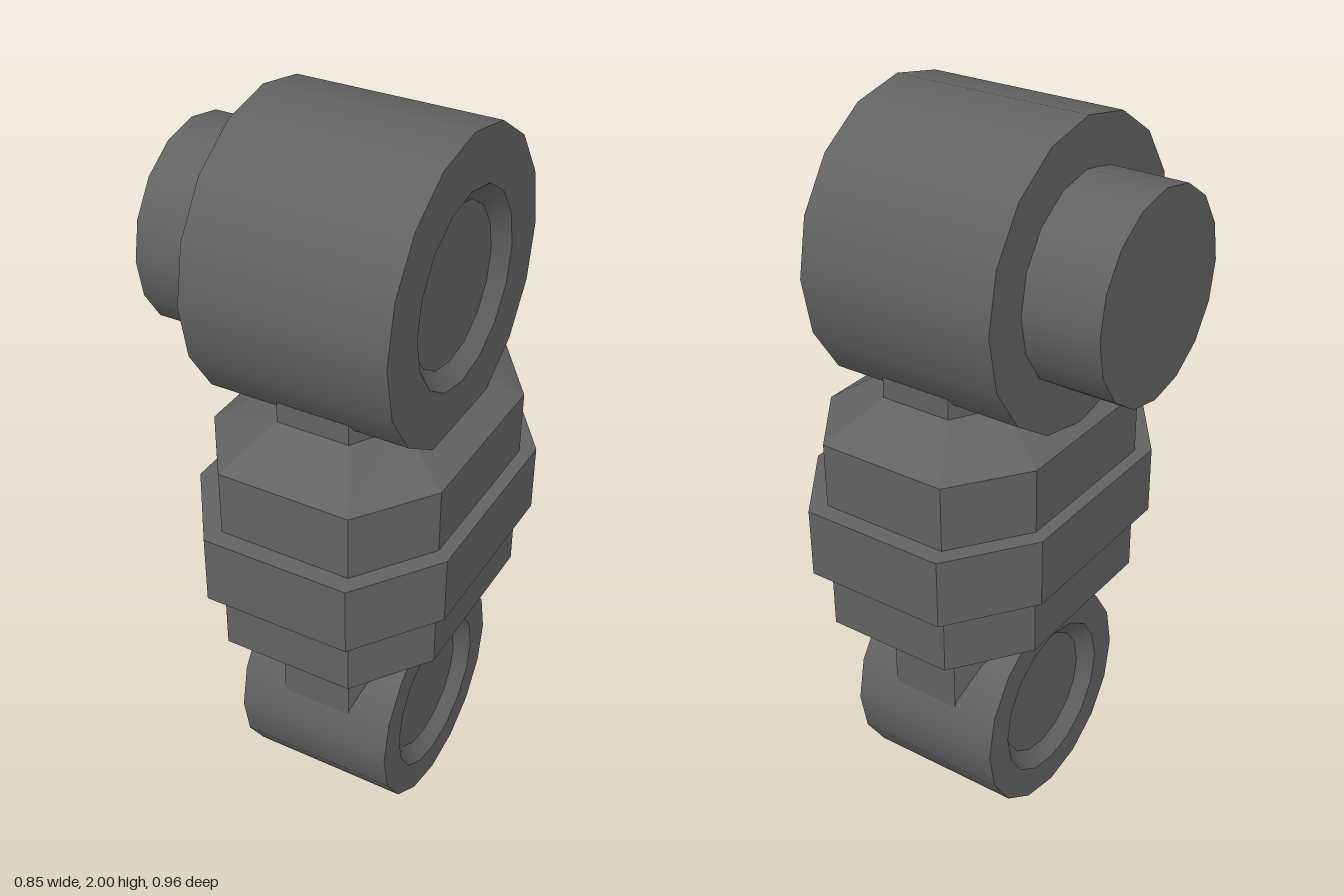
import * as THREE from 'three';
import { mergeGeometries } from 'three/addons/utils/BufferGeometryUtils.js';

const CENTER_X = 0.07;
const darkGrey = new THREE.MeshStandardMaterial({ color: 0x626262 });
const darkGreyFlat = new THREE.MeshStandardMaterial({ color: 0x626262, flatShading: true });

function addMesh(parent, name, geometry, material) {
  const mesh = new THREE.Mesh(geometry, material);
  mesh.name = name;
  parent.add(mesh);
  return mesh;
}

// 16-sided turned part lying along x; profile is [radius, x] from low x to high x.
// Each profile segment is its own band, so it is smooth around and sharp at the rims.
function turned(profile) {
  const points = profile.map(([r, x]) => new THREE.Vector2(r, x));
  const bands = points.slice(1).map((p, i) => new THREE.LatheGeometry([points[i], p], 16));
  return mergeGeometries(bands).rotateZ(-Math.PI / 2);
}

// Stack of octagons joined by flat faces; a layer is [y, halfX, halfZ, flatX, flatZ]
function octagonStack(layers) {
  const rings = layers.map(([y, hx, hz, fx, fz]) => [
    [hx, -fz], [hx, fz], [fx, hz], [-fx, hz], [-hx, fz], [-hx, -fz], [-fx, -hz], [fx, -hz],
  ].map(([x, z]) => [x, y, z]));
  const pos = [];
  const tri = (...corners) => corners.forEach((c) => pos.push(...c));
  for (let k = 0; k < rings.length - 1; k++) {
    const lo = rings[k], hi = rings[k + 1];
    for (let i = 0; i < 8; i++) {
      const j = (i + 1) % 8;
      tri(lo[i], hi[i], lo[j]);
      tri(lo[j], hi[i], hi[j]);
    }
  }
  const bottom = rings[0], top = rings[rings.length - 1];
  for (let i = 1; i < 7; i++) {
    tri(bottom[0], bottom[i], bottom[i + 1]);
    tri(top[0], top[i + 1], top[i]);
  }
  const geometry = new THREE.BufferGeometry();
  geometry.setAttribute('position', new THREE.Float32BufferAttribute(pos, 3));
  geometry.computeVertexNormals();
  return geometry;
}

export function createModel() {
  const model = new THREE.Group();
  model.name = 'pivotLink';

  // Octagonal body with chamfers narrowing to a neck at each end
  const wide = [0.317, 0.431, 0.177, 0.235];
  const neck = [0.175, 0.288, 0.098, 0.157];
  const body = addMesh(model, 'body', octagonStack([
    [0.4, ...neck], [0.577, ...neck], [0.667, ...wide],
    [1.205, ...wide], [1.297, ...neck], [1.4, ...neck],
  ]), darkGreyFlat);
  body.position.x = CENTER_X;

  // Raised band around the middle of the body
  const band = wide.map((v) => v * 1.113);
  const collar = addMesh(model, 'collar', octagonStack([[0.843, ...band], [1.03, ...band]]), darkGreyFlat);
  collar.position.x = CENTER_X;

  // Upper joint: plain boss on one end, bevelled recess on the other
  const upper = addMesh(model, 'upperJoint', turned([
    [0, -0.425], [0.265, -0.425], [0.265, -0.22], [0.39, -0.22],
    [0.39, 0.318], [0.249, 0.318], [0.205, 0.283], [0, 0.283],
  ]), darkGrey);
  upper.position.y = 1.61;

  // Lower joint: bevelled recess on both ends
  const lower = addMesh(model, 'lowerJoint', turned([
    [0, -0.12], [0.18, -0.12], [0.222, -0.155], [0.308, -0.155],
    [0.308, 0.289], [0.222, 0.289], [0.18, 0.254], [0, 0.254],
  ]), darkGrey);
  lower.position.y = 0.308;

  return model;
}
